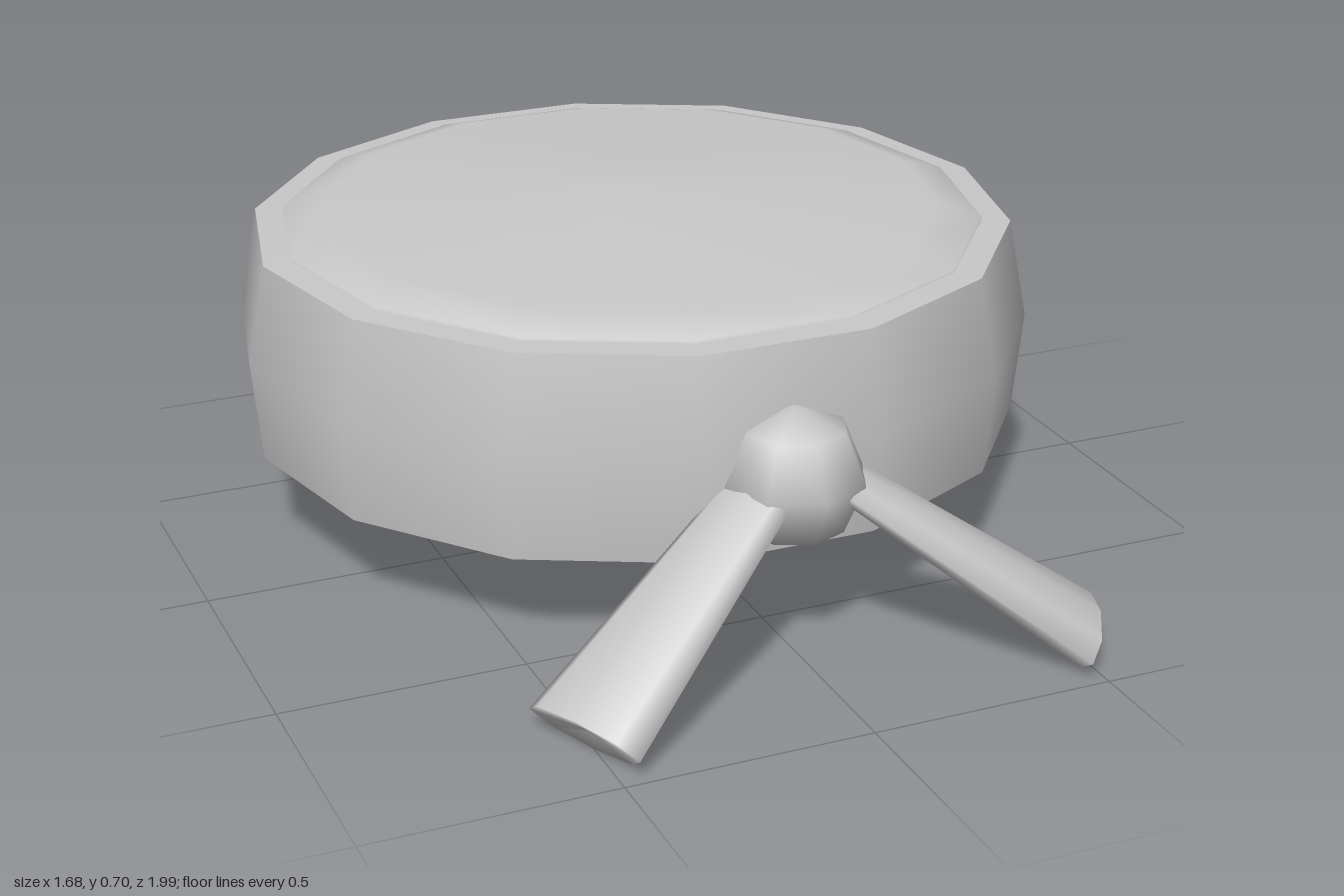
import * as THREE from 'three';

export function createModel() {
  const group = new THREE.Group();
  const grey = new THREE.MeshStandardMaterial({ color: 0xc8c8c8 });
  grey.name = 'plain grey';

  const add = (name, geometry) => {
    const mesh = new THREE.Mesh(geometry, grey);
    mesh.name = name;
    group.add(mesh);
    return mesh;
  };

  // Smooth turned shape from [radius, height] points, listed from the bottom up
  const lathe = (points, sides) =>
    new THREE.LatheGeometry(points.map(([r, y]) => new THREE.Vector2(r, y)), sides, Math.PI / 2);

  // Fourteen-sided part of the drum, with flat sides at front and back
  const turned = (name, points) => {
    add(name, lathe(points, 14)).position.z = -0.18;
  };

  // Band: bulging outer wall, flat top rim, thick inner wall with bottom rim
  turned('bandOuter', [[0.82, 0.21], [0.84, 0.42], [0.8, 0.63]]);
  turned('bandRim', [[0.8, 0.63], [0.72, 0.632]]);
  turned('bandInner', [[0.71, 0.62], [0.695, 0.42], [0.705, 0.23], [0.82, 0.21]]);

  // Closed, shallow domed top set into the band
  turned('domedTop', [[0.74, 0.61], [0.74, 0.638], [0.65, 0.665], [0.12, 0.697], [0, 0.7]]);
  turned('domeUnderside', [[0, 0.615], [0.74, 0.61]]);

  // Knot at the front
  add('knot', new THREE.SphereGeometry(0.145, 8, 4)).position.set(0, 0.37, 0.635);

  // Flattened, flaring ribbon tail from the knot to its end
  const ribbonTail = (side, name) => {
    const start = new THREE.Vector3(0.1 * side, 0.355, 0.675);
    const end = new THREE.Vector3(0.525 * side, 0.042, 0.865);
    const along = end.clone().sub(start);
    const length = along.length();
    along.normalize();
    const wide = new THREE.Vector3(-0.43 * side, 0, 0.9);
    wide.addScaledVector(along, -wide.dot(along)).normalize();
    const thick = wide.clone().cross(along);
    const geometry = lathe([[0, 0], [0.6, 0], [1, length], [0, length - 0.01]], 8);
    geometry.scale(0.14, 1, 0.05);
    geometry.applyMatrix4(new THREE.Matrix4().makeBasis(wide, along, thick));
    add(name, geometry).position.copy(start);
  };

  // Small flat stud at the back
  const stud = (side, name) => {
    const mesh = add(name, new THREE.SphereGeometry(1, 6, 3));
    mesh.scale.set(0.075, 0.08, 0.032);
    mesh.position.set(0.428 * side, 0.37, -0.935);
  };

  for (const [side, label] of [[1, 'left'], [-1, 'right']]) {
    ribbonTail(side, label + 'RibbonTail');
    stud(side, label + 'Stud');
  }
  return group;
}
